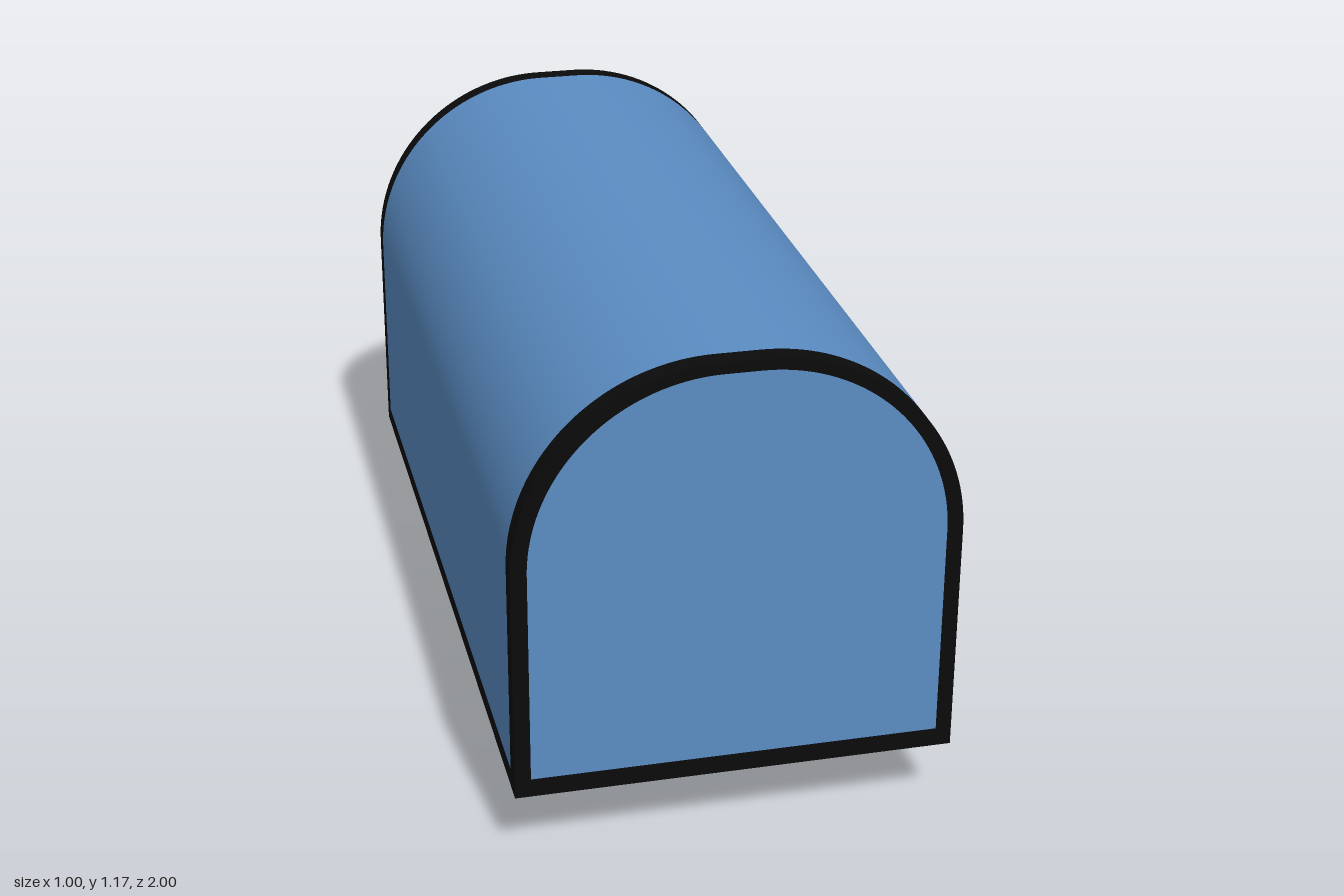
import * as THREE from 'three';

const paint = (name, color, side) => {
  const m = new THREE.MeshStandardMaterial({ color, side });
  m.name = name;
  return m;
};

export function createModel() {
  const blue = paint('blue', 0x5b8dc4, THREE.DoubleSide);
  const black = paint('black', 0x0b0b0b, THREE.DoubleSide);
  const tan = paint('tan', 0x9c8664, THREE.DoubleSide);

  const model = new THREE.Group();
  model.name = 'mailbox';
  const add = (name, geometry, material, parent = model) => {
    const mesh = new THREE.Mesh(geometry, material);
    mesh.name = name;
    parent.add(mesh);
    return mesh;
  };

  const FLOOR = 0.176, SEAM = 0.22, BAND = 0.95;

  // Arch outline: straight walls, two quarter arcs, short flat crown
  const arch = (Type, half, bottom, top, r) => {
    const p = new Type();
    p.moveTo(half, bottom);
    p.lineTo(half, top - r);
    p.absarc(half - r, top - r, r, 0, Math.PI / 2, false);
    p.lineTo(r - half, top);
    p.absarc(r - half, top - r, r, Math.PI / 2, Math.PI, false);
    p.lineTo(-half, bottom);
    return p;
  };

  // Sheet sweeping a profile along z
  const sheet = (pts, z0, z1) => {
    const g = new THREE.PlaneGeometry(1, 1, pts.length - 1, 1);
    const pos = g.attributes.position;
    for (let i = 0; i < pos.count; i++) {
      const p = pts[i % pts.length];
      pos.setXYZ(i, p.x, p.y, i < pts.length ? z0 : z1);
    }
    g.computeVertexNormals();
    return g;
  };

  // Hood with black bands at both ends and along the floor seams
  const hood = new THREE.Group();
  hood.name = 'hood';
  model.add(hood);
  const full = arch(THREE.Path, 0.5, FLOOR, 1.173, 0.45).getPoints(20);
  const upper = arch(THREE.Path, 0.5, SEAM, 1.173, 0.45).getPoints(20);
  add('hoodSheet', sheet(upper, -BAND, BAND), blue, hood);
  add('frontBand', sheet(full, BAND, 1), black, hood);
  add('backBand', sheet(full, -1, -BAND), black, hood);
  for (const s of [1, -1]) {
    const seam = [new THREE.Vector2(0.5 * s, FLOOR), new THREE.Vector2(0.5 * s, SEAM)];
    if (s < 0) seam.reverse();
    add('floorSeam', sheet(seam, -BAND, BAND), black, hood);
  }

  // Front end panel and its black border; the back end is open
  const border = arch(THREE.Shape, 0.5, FLOOR, 1.173, 0.45);
  border.holes.push(arch(THREE.Path, 0.464, SEAM, 1.148, 0.424));
  add('frontBorder', new THREE.ShapeGeometry(border, 20), black).position.z = 1;
  const door = arch(THREE.Shape, 0.464, SEAM, 1.148, 0.424);
  add('frontPanel', new THREE.ShapeGeometry(door, 20), blue).position.z = 1;

  // Floor
  const floor = add('floor', new THREE.PlaneGeometry(1, 2), blue);
  floor.rotation.x = -Math.PI / 2;
  floor.position.y = FLOOR;

  // Mounting bracket: open-topped tray passing up through the floor
  const bracket = new THREE.Group();
  bracket.name = 'mountingBracket';
  bracket.position.z = -0.045;
  model.add(bracket);
  const HX = 0.25, HZ = 0.475, TOP = 0.264;

  const rect = (Type, half, y0, y1, r = 0) => {
    const p = new Type();
    p.moveTo(-half + r, y0);
    p.lineTo(half - r, y0);
    p.quadraticCurveTo(half, y0, half, y0 + r);
    p.lineTo(half, y1 - r);
    p.quadraticCurveTo(half, y1, half - r, y1);
    p.lineTo(-half + r, y1);
    p.quadraticCurveTo(-half, y1, -half, y1 - r);
    p.lineTo(-half, y0 + r);
    p.quadraticCurveTo(-half, y0, -half + r, y0);
    return p;
  };
  const strip = (half, y0, y1) => new THREE.PlaneGeometry(2 * half, y1 - y0).translate(0, (y0 + y1) / 2, 0);

  // Each wall faces +z in its own turned group
  const wall = (name, angle, distance) => {
    const g = new THREE.Group();
    g.name = name;
    g.rotation.y = angle;
    g.position.set(Math.sin(angle) * distance, 0, Math.cos(angle) * distance);
    bracket.add(g);
    return g;
  };
  // Inner lining seen from above
  const lining = (g, half) => {
    for (const [y0, y1, m] of [[0.005, 0.205, black], [0.205, TOP, blue]]) {
      const l = add('lining', strip(half, y0, y1), m, g);
      l.rotation.y = Math.PI;
      l.position.z = -0.005;
    }
  };

  for (const s of [1, -1]) {
    // Long side: tan panel in a black frame with two screw holes
    const side = wall('bracketSide', s * Math.PI / 2, HX);
    const frame = rect(THREE.Shape, HZ, 0, TOP);
    frame.holes.push(rect(THREE.Path, HZ - 0.038, 0.042, 0.174, 0.015));
    add('sideFrame', new THREE.ShapeGeometry(frame), black, side);
    add('sidePanel', new THREE.ShapeGeometry(rect(THREE.Shape, HZ - 0.038, 0.042, 0.174, 0.015)), tan, side);
    for (const x of [-0.375, 0.375])
      add('screwHole', new THREE.CircleGeometry(0.021, 10), black, side).position.set(x, 0.105, 0.002);
    lining(side, HZ - 0.005);

    // Short end: tan between black stripes
    const end = wall('bracketEnd', s > 0 ? 0 : Math.PI, HZ);
    add('endLowerStripe', strip(HX, 0, 0.042), black, end);
    add('endPanel', strip(HX, 0.042, 0.205), tan, end);
    add('endUpperStripe', strip(HX, 0.205, TOP), black, end);
    lining(end, HX - 0.005);
  }
  const base = add('bracketBase', new THREE.PlaneGeometry(2 * HX, 2 * HZ), tan, bracket);
  base.rotation.x = Math.PI / 2;

  return model;
}
